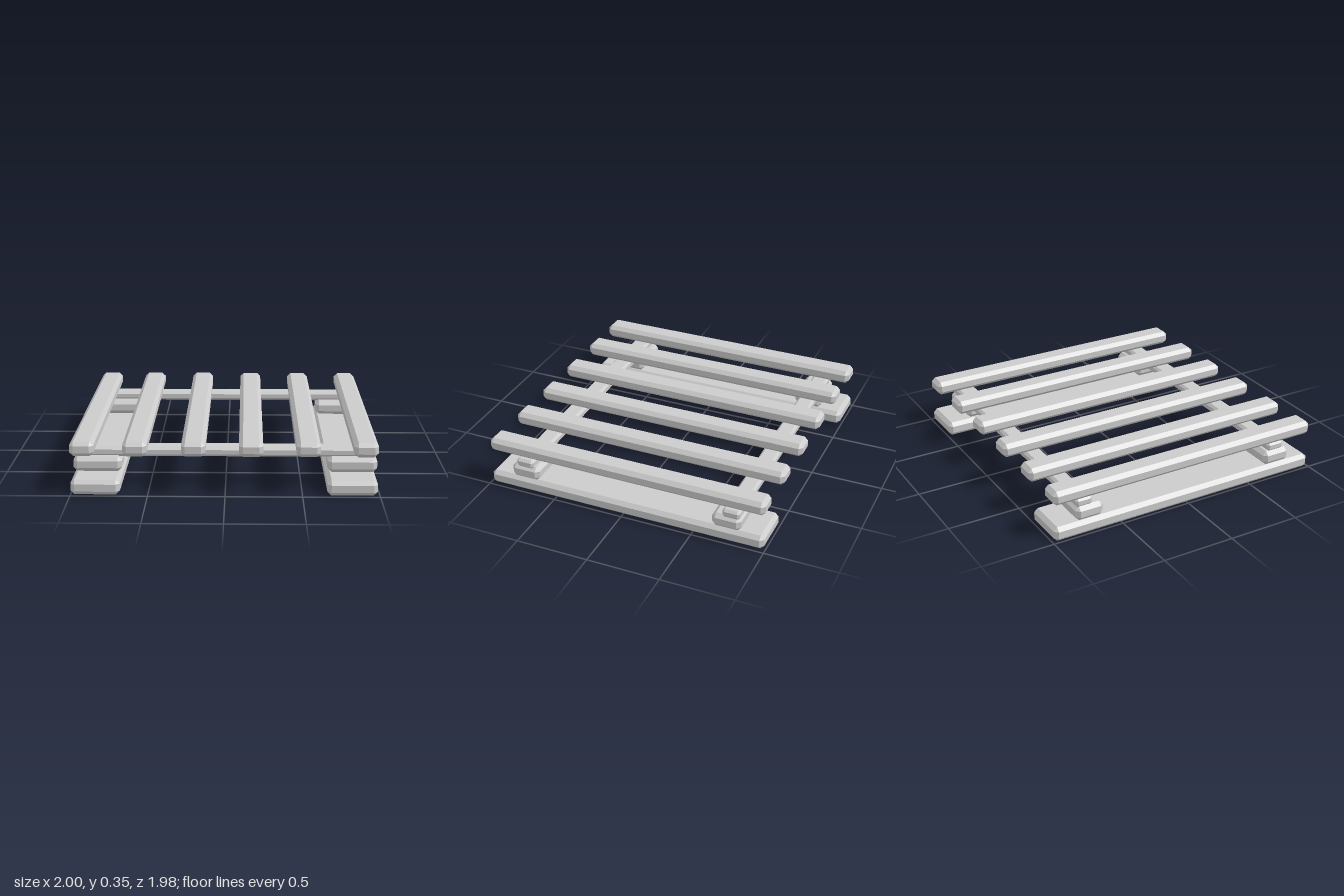
import * as THREE from 'three';
import { ConvexGeometry } from 'three/addons/geometries/ConvexGeometry.js';

const material = new THREE.MeshStandardMaterial({ color: 0xcccccc, flatShading: true });

// Plank with all edges chamfered by b, spanning the given [min, max] ranges
function plank(name, [x0, x1], [y0, y1], [z0, z1], b) {
  const hx = (x1 - x0) / 2, hy = (y1 - y0) / 2, hz = (z1 - z0) / 2;
  const points = [];
  for (const sx of [-1, 1]) for (const sy of [-1, 1]) for (const sz of [-1, 1]) {
    points.push(
      new THREE.Vector3(sx * hx, sy * (hy - b), sz * (hz - b)),
      new THREE.Vector3(sx * (hx - b), sy * hy, sz * (hz - b)),
      new THREE.Vector3(sx * (hx - b), sy * (hy - b), sz * hz)
    );
  }
  const mesh = new THREE.Mesh(new ConvexGeometry(points), material);
  mesh.position.set((x0 + x1) / 2, (y0 + y1) / 2, (z0 + z1) / 2);
  mesh.name = name;
  return mesh;
}

export function createModel() {
  const group = new THREE.Group();
  group.name = 'pallet';
  const length = [-0.99, 0.99];

  // Two wide runners on the ground
  group.add(plank('rightRunner', [-1, -0.68], [0, 0.1], length, 0.026));
  group.add(plank('leftRunner', [0.66, 0.985], [0, 0.1], length, 0.026));

  // Spacer blocks on the runners, with a thin cross rail over each pair
  const rows = [
    { end: 'front', block: [0.615, 0.82], rail: [0.65, 0.775] },
    { end: 'back', block: [-0.835, -0.635], rail: [-0.83, -0.71] }
  ];
  for (const { end, block, rail } of rows) {
    group.add(plank(end + 'RightBlock', [-1, -0.68], [0.104, 0.204], block, 0.027));
    group.add(plank(end + 'LeftBlock', [0.67, 0.995], [0.104, 0.204], block, 0.027));
    group.add(plank(end + 'CrossRail', [-0.985, 1], [0.198, 0.26], rail, 0.016));
  }

  // Six deck slats
  [-0.922, -0.582, -0.205, 0.167, 0.536, 0.905].forEach((x, i) => {
    group.add(plank('slat' + (i + 1), [x - 0.078, x + 0.078], [0.258, 0.355], length, 0.026));
  });

  return group;
}
